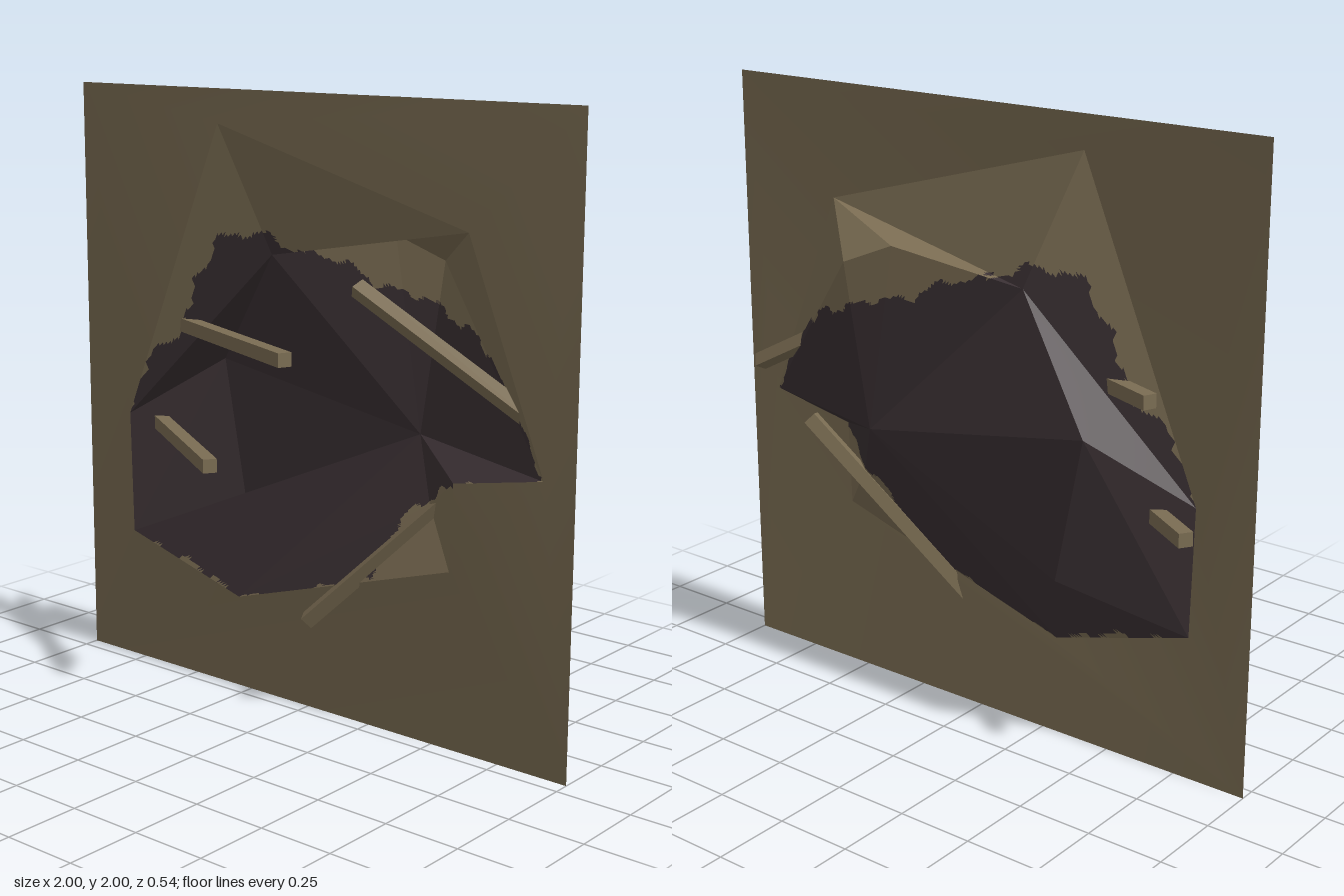
import * as THREE from 'three';

// rim corners lie on the wall sheet, inner corners are pushed back
const RIM_Z = -0.037;
const POINTS = {
  A: [-0.37, 1.89, RIM_Z], B: [0.62, 1.62, RIM_Z], C: [0.9, 0.92, RIM_Z], D: [0.58, 0.86, RIM_Z],
  E: [0.57, 0.58, RIM_Z], F: [-0.29, 0.32, RIM_Z], G: [-0.78, 0.46, RIM_Z], H: [-0.79, 0.88, RIM_Z],
  P: [-0.22, 1.47, -0.13], R: [0.2, 1.56, -0.24], Q: [0.37, 1.49, -0.27], W: [0.32, 0.94, -0.22],
  V: [0.43, 0.75, -0.125], T: [-0.4, 0.6, -0.2], U: [-0.51, 1.08, -0.22],
};
const FACES = ['APB', 'PRB', 'BRQ', 'BQC', 'CQW', 'CWD', 'DWV', 'DVE', 'EVF', 'FVW',
  'GFW', 'GWT', 'GTU', 'GUH', 'HUP', 'HPA', 'UTW', 'PUW', 'PWR', 'RWQ'];

// outline of the dark hollow, seen from the front
const HOLLOW = [
  [-0.4, 1.52], [-0.23, 1.54], [-0.1, 1.49], [0.04, 1.46], [0.14, 1.4], [0.33, 1.37], [0.46, 1.3],
  [0.53, 1.3], [0.66, 1.21], [0.79, 1.07], [0.89, 0.93], [0.79, 0.89], [0.57, 0.85], [0.43, 0.77],
  [0.36, 0.72], [0.29, 0.61], [0.26, 0.5], [0.16, 0.46], [-0.07, 0.37], [-0.31, 0.32], [-0.52, 0.4],
  [-0.79, 0.45], [-0.81, 0.87], [-0.7, 1.08], [-0.55, 1.21], [-0.5, 1.36],
];

function inHollow(px, py) {
  // small ripples make the edge ragged
  const x = px + 0.009 * Math.sin(py * 47) + 0.005 * Math.sin(py * 101 + 1);
  const y = py + 0.009 * Math.sin(px * 43 + 2) + 0.005 * Math.sin(px * 97);
  let inside = false;
  for (let i = 0, j = HOLLOW.length - 1; i < HOLLOW.length; j = i++) {
    const [xi, yi] = HOLLOW[i], [xj, yj] = HOLLOW[j];
    if ((yi > y) !== (yj > y) && x < ((xj - xi) * (y - yi)) / (yj - yi) + xi) inside = !inside;
  }
  return inside;
}

function flatGeometry(positions) {
  const geometry = new THREE.BufferGeometry();
  geometry.setAttribute('position', new THREE.Float32BufferAttribute(positions, 3));
  geometry.computeVertexNormals();
  return geometry;
}

// splits every crater face into small triangles, sorted into plaster and hollow
function craterGeometries(n) {
  const plaster = [], hollow = [];
  for (const face of FACES) {
    const [a, b, c] = [...face].map((k) => new THREE.Vector3(...POINTS[k]));
    const ab = b.clone().sub(a).divideScalar(n), ac = c.clone().sub(a).divideScalar(n);
    const at = (i, j) => a.clone().addScaledVector(ab, i).addScaledVector(ac, j);
    const add = (...tri) => {
      const x = (tri[0].x + tri[1].x + tri[2].x) / 3;
      const y = (tri[0].y + tri[1].y + tri[2].y) / 3;
      const target = inHollow(x, y) ? hollow : plaster;
      tri.forEach((p) => target.push(p.x, p.y, p.z));
    };
    for (let i = 0; i < n; i++) {
      for (let j = 0; j < n - i; j++) {
        add(at(i, j), at(i + 1, j), at(i, j + 1));
        if (i + j < n - 1) add(at(i + 1, j), at(i + 1, j + 1), at(i, j + 1));
      }
    }
  }
  return [flatGeometry(plaster), flatGeometry(hollow)];
}

// square sheet with the rim cut out, its corners bent slightly back
function wallGeometry() {
  const shape = new THREE.Shape([[-1, 0], [1, 0], [1, 2], [-1, 2]].map((p) => new THREE.Vector2(...p)));
  shape.holes.push(new THREE.Path([...'ABCDEFGH'].map((k) => new THREE.Vector2(POINTS[k][0], POINTS[k][1]))));
  const geometry = new THREE.ShapeGeometry(shape);
  const pos = geometry.attributes.position;
  for (let i = 0; i < pos.count; i++) {
    pos.setZ(i, Math.abs(pos.getX(i)) > 0.99 ? -0.052 : RIM_Z);
  }
  geometry.computeVertexNormals();
  return geometry;
}

export function createModel() {
  const model = new THREE.Group();
  const brown = new THREE.MeshStandardMaterial({ color: 0x7b6d53, side: THREE.DoubleSide });
  brown.name = 'dusty brown';
  const dark = new THREE.MeshStandardMaterial({ color: 0x3a3033, side: THREE.DoubleSide });
  dark.name = 'dark hollow';

  const add = (name, geometry, material) => {
    const mesh = new THREE.Mesh(geometry, material);
    mesh.name = name;
    model.add(mesh);
    return mesh;
  };

  add('wall', wallGeometry(), brown);
  const [plaster, hollow] = craterGeometries(48);
  add('craterPlaster', plaster, brown);
  add('craterHollow', hollow, dark);

  // broken beams: start, end, roll
  const beams = [
    ['upperLeftBeam', [-0.68, 1.21, -0.13], [0.1, 1.21, 0.18], 0],
    ['lowerLeftBeam', [-0.86, 0.85, -0.2], [-0.15, 0.85, 0.25], 0],
    ['lowerRightBeam', [0.04, 0.32, 0.0], [0.62, 0.905, -0.175], 0.3],
    ['upperRightBeam', [0.18, 1.41, -0.07], [0.92, 1.025, -0.1], 0.5],
  ];
  for (const [name, from, to, roll] of beams) {
    const start = new THREE.Vector3(...from), end = new THREE.Vector3(...to);
    const geometry = new THREE.BoxGeometry(0.045, 0.045, start.distanceTo(end));
    geometry.rotateZ(roll);
    const beam = add(name, geometry, brown);
    beam.position.copy(start).add(end).multiplyScalar(0.5);
    beam.lookAt(end);
  }
  return model;
}
